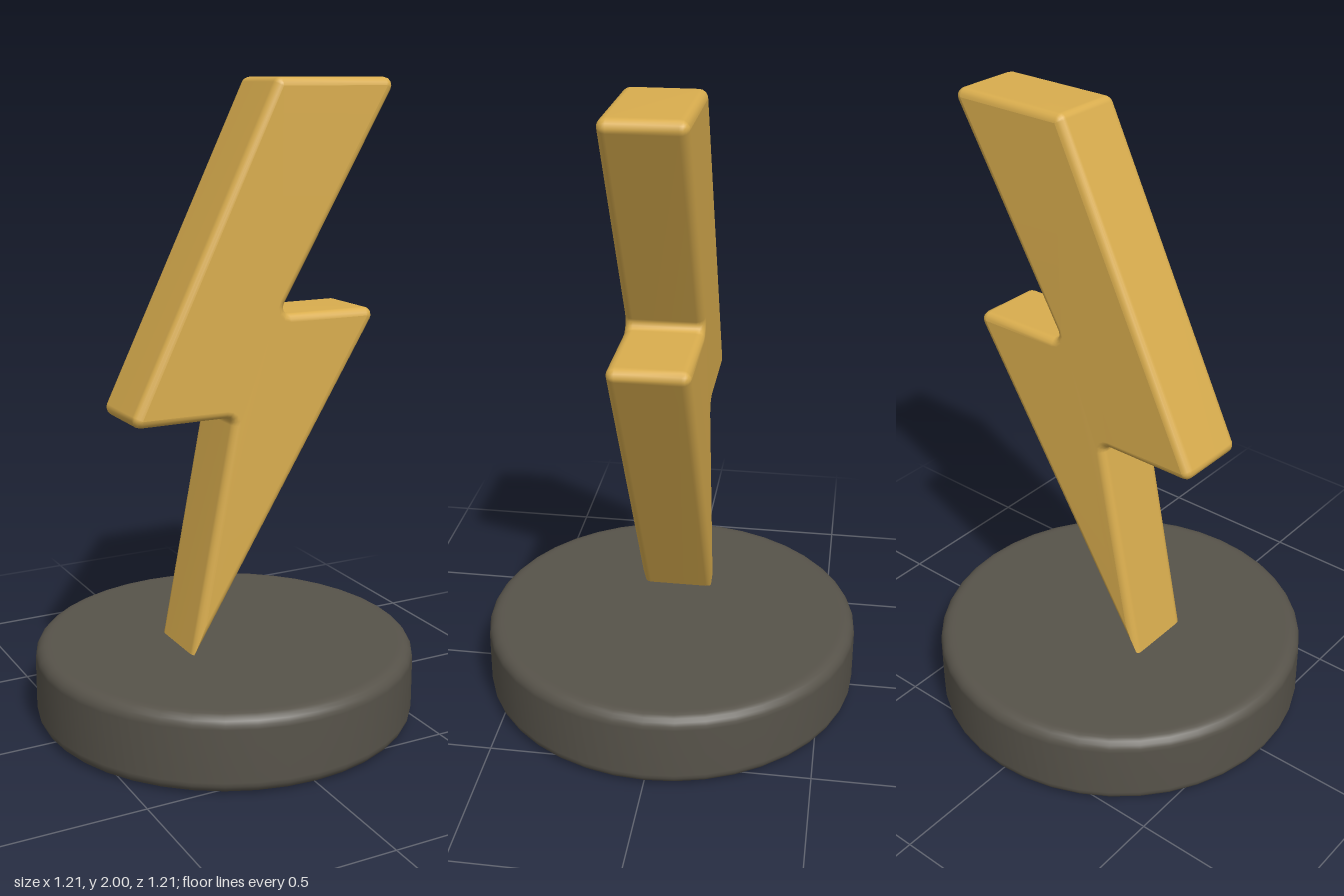
import * as THREE from 'three';

const gold = new THREE.MeshStandardMaterial({ color: 0xd9ad4e });
gold.name = 'gold';
const darkGrey = new THREE.MeshStandardMaterial({ color: 0x57534a });
darkGrey.name = 'dark grey';

// Sharp outline of the bolt, counter-clockwise from the tip
const outline = [
  [-0.173, 0.213], [0.488, 1.297], [0.135, 1.297], [0.542, 2],
  [0.12, 2], [-0.369, 0.99], [-0.023, 0.99],
].map(([x, y]) => new THREE.Vector2(x, y));
const BEVEL = 0.026, FILLET = 0.02, HALF_DEPTH = 0.12, STEPS = 4;

// Outline grown by t from the flat face: rounded corners, mitred tip
function ring(t) {
  const points = [];
  outline.forEach((p, i) => {
    const prev = outline[(i + outline.length - 1) % outline.length];
    const next = outline[(i + 1) % outline.length];
    const d1 = p.clone().sub(prev).normalize();
    const d2 = next.clone().sub(p).normalize();
    const n1 = new THREE.Vector2(d1.y, -d1.x);
    const n2 = new THREE.Vector2(d2.y, -d2.x);
    const miter = n1.clone().add(n2).divideScalar(1 + n1.dot(n2));
    const turn = Math.atan2(d1.cross(d2), d1.dot(d2));
    for (let k = 0; k <= STEPS; k++) {
      const n = n1.clone().rotateAround(new THREE.Vector2(), turn * k / STEPS);
      const q = p.clone();
      if (i === 0) q.addScaledVector(miter, t - BEVEL);
      else if (turn > 0) q.addScaledVector(miter, -BEVEL).addScaledVector(n, t);
      else q.addScaledVector(miter, FILLET).addScaledVector(n, t - BEVEL - FILLET);
      points.push(q);
    }
  });
  return points;
}

// Loft the rounded rings from front to back and close both faces
function boltGeometry() {
  const rings = [];
  for (let j = 0; j <= STEPS; j++) {
    const a = (j / STEPS) * Math.PI / 2;
    rings.push({
      points: ring(Math.max(0.001, BEVEL * Math.sin(a))),
      z: HALF_DEPTH - BEVEL + BEVEL * Math.cos(a),
    });
  }
  for (let j = STEPS; j >= 0; j--) rings.push({ points: rings[j].points, z: -rings[j].z });

  const positions = [], index = [];
  const count = rings[0].points.length;
  rings.forEach(({ points, z }) => points.forEach((p) => positions.push(p.x, p.y, z)));
  for (let j = 0; j < rings.length - 1; j++) {
    for (let i = 0; i < count; i++) {
      const i2 = (i + 1) % count;
      const a = j * count + i, b = j * count + i2;
      const c = a + count, d = b + count;
      index.push(a, c, d, a, d, b);
    }
  }
  const back = (rings.length - 1) * count;
  for (const [a, b, c] of THREE.ShapeUtils.triangulateShape(rings[0].points, [])) {
    index.push(a, b, c, back + a, back + c, back + b);
  }
  const geometry = new THREE.BufferGeometry();
  geometry.setAttribute('position', new THREE.Float32BufferAttribute(positions, 3));
  geometry.setIndex(index);
  geometry.computeVertexNormals();
  return geometry;
}

// Round base with softened rims
function baseGeometry() {
  const R = 0.605, H = 0.245, r = 0.04;
  const profile = [new THREE.Vector2(0, 0), new THREE.Vector2(R - r - 0.01, 0)];
  for (const [cy, start] of [[r, -Math.PI / 2], [H - r, 0]]) {
    for (let k = 0; k <= 5; k++) {
      const a = start + (k / 5) * Math.PI / 2;
      profile.push(new THREE.Vector2(R - r + r * Math.cos(a), cy + r * Math.sin(a)));
    }
  }
  profile.push(new THREE.Vector2(R - r - 0.01, H), new THREE.Vector2(0, H));
  return new THREE.LatheGeometry(profile, 40);
}

export function createModel() {
  const group = new THREE.Group();
  group.name = 'lightningTrophy';
  const base = new THREE.Mesh(baseGeometry(), darkGrey);
  base.name = 'base';
  const bolt = new THREE.Mesh(boltGeometry(), gold);
  bolt.name = 'lightningBolt';
  group.add(base, bolt);
  return group;
}
